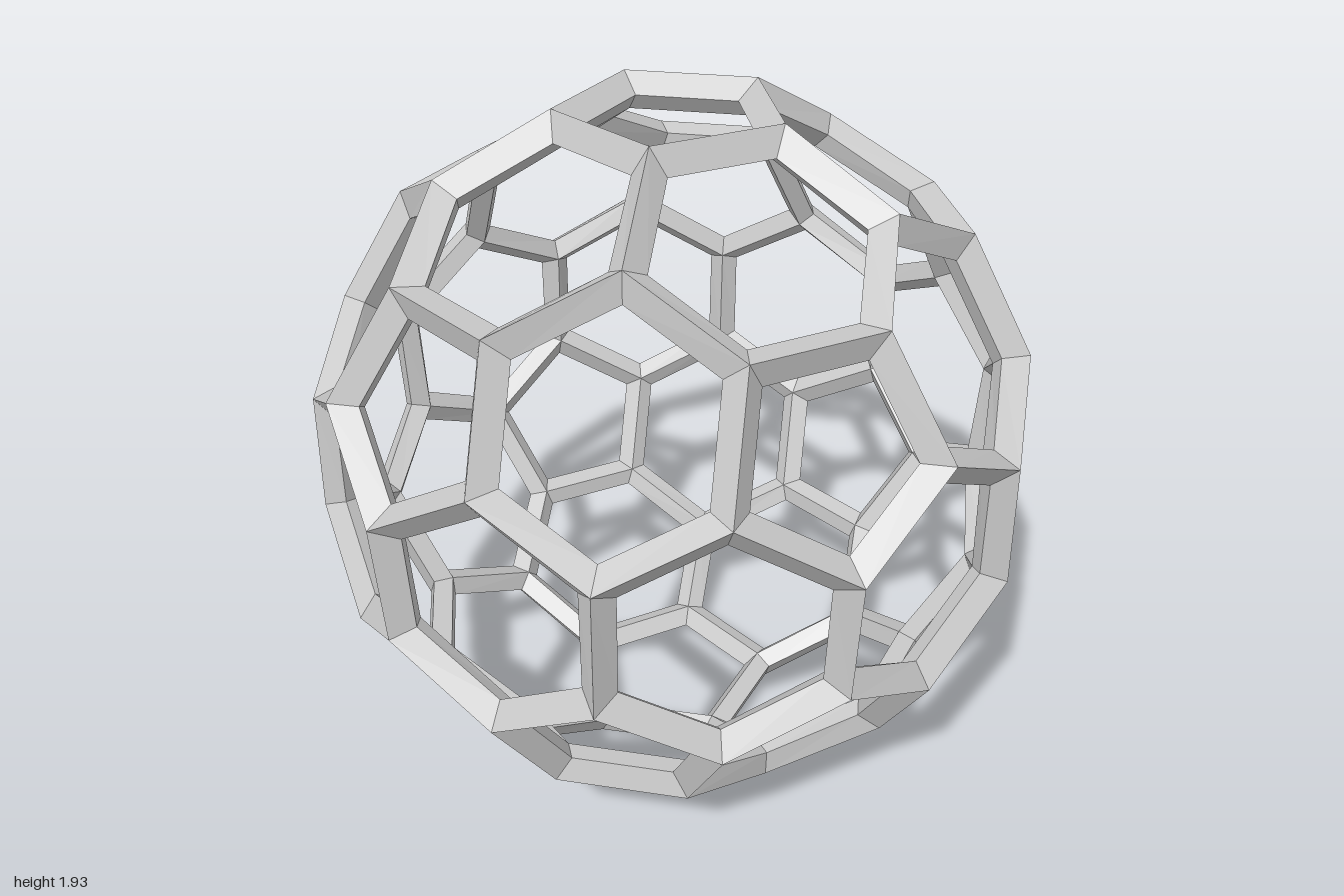
import * as THREE from 'three';

const RADIUS = 1.0198;   // sphere that carries the cell centres
const HALF_DEPTH = 0.05; // ridge offset, outward and inward
const INSET = 0.046;     // half width of a strut

// Centres of the 42 cells: 12 pentagons plus one hexagon between each neighbouring pair
function cellCentres() {
  const pents = [new THREE.Vector3(0, 1, 0), new THREE.Vector3(0, -1, 0)];
  for (let k = 0; k < 10; k++) {
    const a = k * Math.PI / 5, r = 2 / Math.sqrt(5);
    pents.push(new THREE.Vector3(r * Math.cos(a), (k % 2 ? -1 : 1) / Math.sqrt(5), r * Math.sin(a)));
  }
  const hexes = [];
  pents.forEach((a, i) => pents.slice(i + 1).forEach(b => {
    if (a.distanceTo(b) < 1.1) hexes.push(a.clone().add(b).normalize());
  }));
  return [...pents, ...hexes];
}

// Frame joints: one in the middle of every three mutually neighbouring cells
function frameJoints(cells) {
  const near = (i, j) => cells[i].distanceTo(cells[j]) < 0.7;
  const joints = [];
  for (let i = 0; i < cells.length; i++)
    for (let j = i + 1; j < cells.length; j++) {
      if (!near(i, j)) continue;
      for (let k = j + 1; k < cells.length; k++)
        if (near(i, k) && near(j, k)) {
          const mid = cells[i].clone().add(cells[j]).add(cells[k]).multiplyScalar(RADIUS / 3);
          const n = mid.clone().normalize();
          joints.push({
            cells: [i, j, k], mid,
            out: mid.clone().addScaledVector(n, HALF_DEPTH),
            inn: mid.clone().addScaledVector(n, -HALF_DEPTH),
          });
        }
    }
  return joints;
}

// Half of each strut around one cell: outer slope and inner slope meeting at the inset opening
function rimGeometry(centre, joints) {
  const u = new THREE.Vector3(0.31, 0.52, 0.79).cross(centre).normalize();
  const v = centre.clone().cross(u);
  const angle = p => Math.atan2(p.mid.dot(v), p.mid.dot(u));
  const loop = [...joints].sort((a, b) => angle(a) - angle(b));
  const n = loop.length;
  const corners = loop.map((p, i) => {
    const a = loop[(i + n - 1) % n].mid.clone().sub(p.mid).normalize();
    const b = loop[(i + 1) % n].mid.clone().sub(p.mid).normalize();
    const dist = INSET / Math.sin(a.angleTo(b) / 2);
    return p.mid.clone().addScaledVector(a.add(b).normalize(), dist);
  });
  const points = [];
  const quad = (a, b, c, d) => points.push(a, b, c, a, c, d);
  for (let i = 0; i < n; i++) {
    const j = (i + 1) % n;
    quad(loop[i].out, loop[j].out, corners[j], corners[i]);
    quad(loop[j].inn, loop[i].inn, corners[i], corners[j]);
  }
  const geo = new THREE.BufferGeometry().setFromPoints(points);
  geo.computeVertexNormals();
  return geo;
}

export function createModel() {
  const group = new THREE.Group();
  group.name = 'sphericalFrame';
  const material = new THREE.MeshStandardMaterial({ color: 0xcccccc, flatShading: true });
  const cells = cellCentres();
  const joints = frameJoints(cells);

  cells.forEach((centre, i) => {
    const around = joints.filter(j => j.cells.includes(i));
    const rim = new THREE.Mesh(rimGeometry(centre, around), material);
    rim.name = around.length === 5 ? 'pentagonRim' : 'hexagonRim';
    group.add(rim);
  });

  // Rest the lowest pentagon on the ground
  group.position.y = -Math.min(...joints.map(j => j.out.y));
  return group;
}
